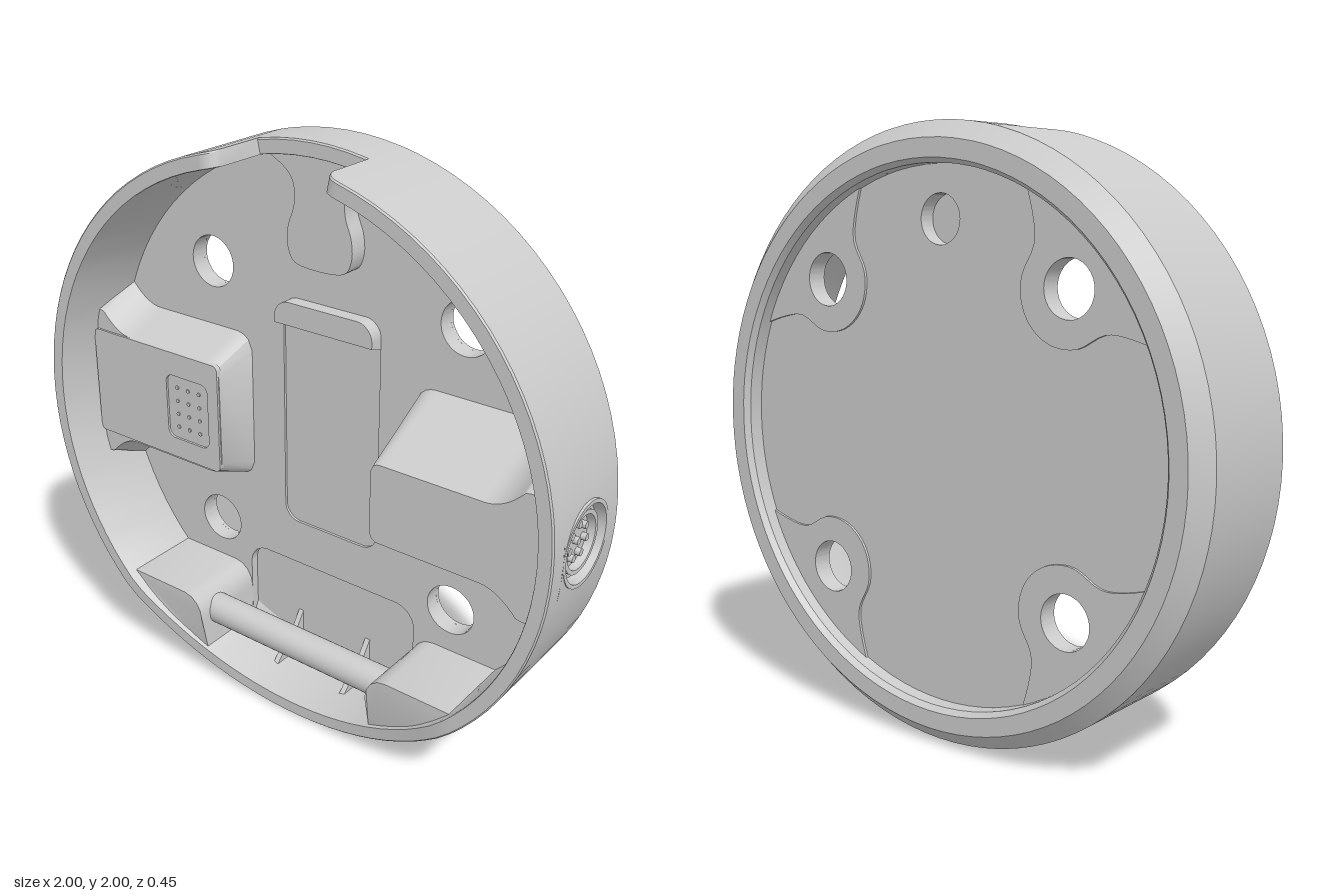
import * as THREE from 'three';
import { toCreasedNormals } from 'three/addons/utils/BufferGeometryUtils.js';

const grey = new THREE.MeshStandardMaterial({ color: 0xcccccc });
const greyDouble = new THREE.MeshStandardMaterial({ color: 0xcccccc, side: THREE.DoubleSide });
const V2 = (x, y) => new THREE.Vector2(x, y);

// Front height of the rim: sloped off near the bottom
const frontLimit = y => (y > 0.27 ? 0.225 : 0.16 + 0.065 * y / 0.27);
// x of the outer wall at height y
const onWall = y => Math.sqrt(Math.max(0, 1 - (y - 1) ** 2));

// Moves every vertex by a rule
function reshape(geo, rule) {
  const p = geo.attributes.position, v = new THREE.Vector3();
  for (let i = 0; i < p.count; i++) {
    rule(v.fromBufferAttribute(p, i));
    p.setXYZ(i, v.x, v.y, v.z);
  }
  return geo;
}

function roundRect(x0, y0, x1, y1, r, PathType = THREE.Shape) {
  const s = new PathType();
  s.moveTo(x0 + r, y0);
  s.lineTo(x1 - r, y0).absarc(x1 - r, y0 + r, r, -Math.PI / 2, 0);
  s.lineTo(x1, y1 - r).absarc(x1 - r, y1 - r, r, 0, Math.PI / 2);
  s.lineTo(x0 + r, y1).absarc(x0 + r, y1 - r, r, Math.PI / 2, Math.PI);
  s.lineTo(x0, y0 + r).absarc(x0 + r, y0 + r, r, Math.PI, Math.PI * 1.5);
  return s;
}
const circle = (x, y, r, T = THREE.Path) => new T().absarc(x, y, r, 0, Math.PI * 2);

function extrude(shape, z0, z1, opts = {}) {
  const g = new THREE.ExtrudeGeometry(shape, { depth: z1 - z0, bevelEnabled: false, curveSegments: 20, ...opts });
  return g.translate(0, 0, z0);
}

// Two triangles per quad between two rows of points
function bridge(out, A, B, j, k) {
  out.push(...A[j], ...B[j], ...B[k], ...A[j], ...B[k], ...A[k]);
}
function fromTriangles(list) {
  return new THREE.BufferGeometry().setAttribute('position', new THREE.Float32BufferAttribute(list, 3));
}

export function createModel() {
  const model = new THREE.Group();
  const add = (name, geo, mat = grey) => {
    const m = new THREE.Mesh(toCreasedNormals(geo, 0.5), mat);
    m.name = name;
    model.add(m);
    return m;
  };

  // Round openings in the +x side of the outer wall
  const ports = [{ y: 1, z: 0.02, r: 0.137 }, { y: 0.25, z: 0.09, r: 0.055 }];
  for (const p of ports) {
    p.a0 = Math.asin(p.y - p.r - 0.02 - 1);
    p.a1 = Math.asin(p.y + p.r + 0.02 - 1);
  }

  // Stations around the rim, with a notch at the top
  const notch = Math.asin(0.205), top = Math.PI / 2;
  const stations = [];
  for (let i = 0; i <= 96; i++) stations.push(-top + i * Math.PI / 48);
  for (const p of ports) stations.push(p.a0, p.a1);
  for (const s of [-1, 1]) for (const d of [0, 0.004, 0.015, 0.03, 0.05]) stations.push(top + s * (notch + d));
  stations.push(top - notch, top + notch);
  stations.sort((a, b) => a - b);

  const section = (a, inNotch) => {
    const d = Math.abs(a - top) - notch, c = 0.05;
    let F = frontLimit(1 + Math.sin(a));
    if (inNotch) F = 0.01;
    else if (d < c) F = 0.225 - c + Math.sqrt(Math.max(0, c * c - (c - Math.max(d, 0)) ** 2));
    return [[0.87, -0.145], [0.87, -0.205], [0.885, -0.225], [0.945, -0.225], [1, -0.17],
      [1, Math.min(0.16, F - 0.02)], [1, F - 0.005], [0.995, F], [0.952, F], [0.95, F - 0.004],
      [0.95, -0.1]].map(([r, z]) => [r * Math.cos(a), 1 + r * Math.sin(a), z]);
  };
  const rim = [];
  for (let i = 0; i < stations.length - 1; i++) {
    const a = stations[i], b = stations[i + 1], mid = (a + b) / 2;
    // A doubled station is the upright end of the notch
    const step = b - a < 1e-9;
    const inside = Math.abs(mid - top) < notch - 1e-9;
    const A = section(a, step ? a > top : inside), B = section(b, step ? a < top : inside);
    const open = ports.some(p => mid > p.a0 && mid < p.a1);
    for (let j = 0; j < A.length; j++) if (!open || j !== 4) bridge(rim, A, B, j, (j + 1) % A.length);
  }
  add('rim', fromTriangles(rim));

  // Wall patches: rows from each round opening out to a rectangle
  for (const p of ports) {
    const y0 = 1 + Math.sin(p.a0), y1 = 1 + Math.sin(p.a1), n = 16, edge = [];
    const corners = [[0.16, y0], [-0.17, y0], [-0.17, y1], [0.16, y1]];
    corners.forEach(([z, y], c) => {
      const [zn, yn] = corners[(c + 1) % 4];
      for (let i = 0; i < n; i++) edge.push([z + (zn - z) * i / n, y + (yn - y) * i / n]);
    });
    const row = t => edge.map(([z, y]) => {
      const a = Math.atan2(y - p.y, z - p.z);
      const zz = p.z + p.r * Math.cos(a), yy = p.y + p.r * Math.sin(a);
      const Y = yy + (y - yy) * t;
      return [onWall(Y), Y, zz + (z - zz) * t];
    });
    const patch = [];
    for (let k = 0; k < 4; k++) {
      const A = row(k / 4), B = row((k + 1) / 4);
      for (let j = 0; j < A.length; j++) bridge(patch, A, B, j, (j + 1) % A.length);
    }
    add('wallAroundPort', fromTriangles(patch));
  }

  // Floor: front layer with pockets, back layer with screw holes only
  const screws = [[1, 1], [-1, 1], [-1, -1], [1, -1]];
  const disc = () => {
    const s = circle(0, 1, 0.96, THREE.Shape);
    for (const [x, y] of screws) s.holes.push(circle(x * 0.5, 1 + y * 0.5, 0.09));
    s.holes.push(circle(0, 1.7, 0.08));
    return s;
  };
  const front = disc();
  front.holes.push(roundRect(-0.195, 0.61, 0.195, 1.4, 0.06, THREE.Path));
  const low = new THREE.Path();
  low.absarc(0, 1, 0.945, -top - 0.39, -top + 0.39).lineTo(0.36, 0.36);
  low.absarc(0.28, 0.36, 0.08, 0, top).lineTo(-0.28, 0.44).absarc(-0.28, 0.36, 0.08, top, Math.PI);
  front.holes.push(low);
  add('floorFront', extrude(front, -0.125, -0.095, { curveSegments: 40 }));
  add('floorBack', extrude(disc(), -0.155, -0.125, { curveSegments: 40 }));
  add('pocketFloor', extrude(roundRect(-0.2, 0.6, 0.2, 1.41, 0.06), -0.13, -0.104));

  // Flared pads around the screw holes on the back
  for (const [sx, sy] of screws) {
    const half = [[0.12, 0.36], [0.06, 0.25], [0.0, 0.18], [-0.1, 0.145], [-0.16, 0.08]];
    const toXY = ([u, v]) => {
      const k = Math.SQRT1_2, w = u + 0.707;
      return V2(sx * (w - v) * k, 1 + sy * (w + v) * k);
    };
    const edge = [...half, [-0.18, 0], ...half.map(([u, v]) => [u, -v]).reverse()].map(toXY);
    const pts = new THREE.SplineCurve(edge).getPoints(40);
    const pad = new THREE.Shape([...pts, ...[[0.2, -0.2], [0.22, 0], [0.2, 0.2]].map(toXY)]);
    pad.holes.push(circle(sx * 0.5, 1 + sy * 0.5, 0.09));
    add('backPad', extrude(pad, -0.164, -0.15));
  }

  // Keyhole boss below the notch
  const key = [[0.2, 1.93], [0.135, 1.895], [0.1, 1.85], [0.098, 1.78], [0.122, 1.71], [0.122, 1.64], [0.08, 1.592]];
  const keyPts = new THREE.SplineCurve([...key, ...key.map(([x, y]) => [-x, y]).reverse()].map(p => V2(...p))).getPoints(60);
  add('keyholeBoss', extrude(new THREE.Shape([...keyPts, V2(-0.1, 1.96), V2(0.1, 1.96)]), -0.1, -0.03));

  // Lip above the central pocket, its underside slanted
  const lip = new THREE.Shape();
  lip.moveTo(-0.195, 1.345).lineTo(0.195, 1.345).lineTo(0.195, 1.39);
  lip.absarc(0.135, 1.39, 0.06, 0, top).lineTo(-0.135, 1.45).absarc(-0.135, 1.39, 0.06, top, Math.PI);
  add('pocketLip', reshape(extrude(lip, -0.12, -0.045), v => { if (v.z > -0.1 && v.y < 1.35) v.y = 1.37; }));

  // Side blocks: bevelled sections run out to the wall, rounded inside and flared outside
  const sideBlock = (name, s, height, slope, endSlope) => {
    const zb = -0.1, w = 0.275;
    const sec = new THREE.Shape([[zb, -w], [height, slope - w], [height, w - slope], [zb, w]].map(([z, y]) => V2(-s * z, y)));
    const g = extrude(sec, 0.335, 0.965, { steps: 40 }).rotateY(s * top);
    reshape(g, v => {
      const u = Math.abs(v.x), t = Math.min(1, (u - 0.335) / 0.07);
      const f = Math.min(1, Math.max(0, (u - 0.76) / 0.13));
      const y = v.y * (1 - 0.22 * (1 - Math.sqrt(Math.max(0, 1 - (1 - t) ** 2)))) + Math.sign(v.y) * 0.075 * f * f;
      v.x = s * Math.min(u + endSlope * (1 - t) * (v.z - zb) / (height - zb), Math.sqrt(0.965 ** 2 - y * y));
      v.y = 1 + y;
    });
    add(name, g);
  };
  sideBlock('rightContactBlock', -1, 0.062, 0.07, 0.015);
  sideBlock('leftConnectorBlock', 1, 0.2, 0.14, 0.035);

  // Contact plate with a shallow pocket and pins
  const plate = roundRect(-0.935, 0.805, -0.353, 1.205, 0.02);
  plate.holes.push(roundRect(-0.59, 0.88, -0.4, 1.12, 0.03, THREE.Path));
  add('contactPlate', extrude(plate, 0.05, 0.07));
  for (let i = 0; i < 3; i++) for (let j = 0; j < 4; j++) {
    const pin = add('contactPin', new THREE.CylinderGeometry(0.007, 0.007, 0.008, 10).rotateX(top));
    pin.position.set(-0.545 + i * 0.05, 0.925 + j * 0.05, 0.062);
  }

  // Shelves that carry the cross bar
  for (const s of [-1, 1]) {
    const pts = [[0.36, 0.12], [0.36, 0.25], [0.366, 0.285], [0.382, 0.313], [0.407, 0.333], [0.44, 0.34], [0.69, 0.34]];
    for (let i = 0; i <= 12; i++) {
      const a = -0.759 - i * 0.0359;
      pts.push([0.96 * Math.cos(a), 1 + 0.96 * Math.sin(a)]);
    }
    const g = extrude(new THREE.Shape(pts.map(([x, y]) => V2(s * x, y))), -0.12, 0.19);
    add('barShelf', reshape(g, v => { v.z = Math.min(v.z, frontLimit(v.y) - 0.025); }));
  }
  const bar = add('crossBar', new THREE.CylinderGeometry(0.055, 0.055, 1, 32).rotateZ(top));
  bar.position.set(0, 0.25, 0.09);

  // Tunnel from the outside towards the end of the bar
  const tunnel = new THREE.CylinderGeometry(0.055, 0.055, 0.2, 32, 1, true).rotateZ(-top).translate(0.65, 0.25, 0.09);
  add('barTunnel', reshape(tunnel, v => { v.x = v.x > 0.65 ? onWall(v.y) : 0.5; }), greyDouble);

  // Small ribs in the bottom pocket
  for (const x of [-0.15, 0.15]) {
    const rib = new THREE.Shape([V2(0.13, 0.05), V2(0.13, 0.22), V2(0.08, 0.15), V2(0, 0.09), V2(-0.04, 0.05)]);
    add('pocketRib', extrude(rib, -0.01, 0.01).rotateY(top).translate(x, 0, 0));
  }

  // Round connector with a flat collar in the side wall
  const cup = [[0.137, 0.98], [0.137, 1], [0.124, 1], [0.118, 0.965], [0.1, 0.965], [0.1, 0.985], [0.086, 0.985], [0.082, 0.96], [0.0001, 0.96]];
  const cupGeo = new THREE.LatheGeometry(cup.map(p => V2(...p)), 48).rotateZ(-top);
  add('connectorCup', cupGeo, greyDouble).position.set(0, 1, 0.02);
  for (let i = 0; i < 8; i++) {
    const a = i * Math.PI * 2 / 7, r = i < 7 ? 0.054 : 0;
    const pin = add('connectorPin', new THREE.CylinderGeometry(0.012, 0.012, 0.02, 12).rotateZ(top));
    pin.position.set(0.967, 1 + r * Math.cos(a), 0.02 + r * Math.sin(a));
  }
  return model;
}
